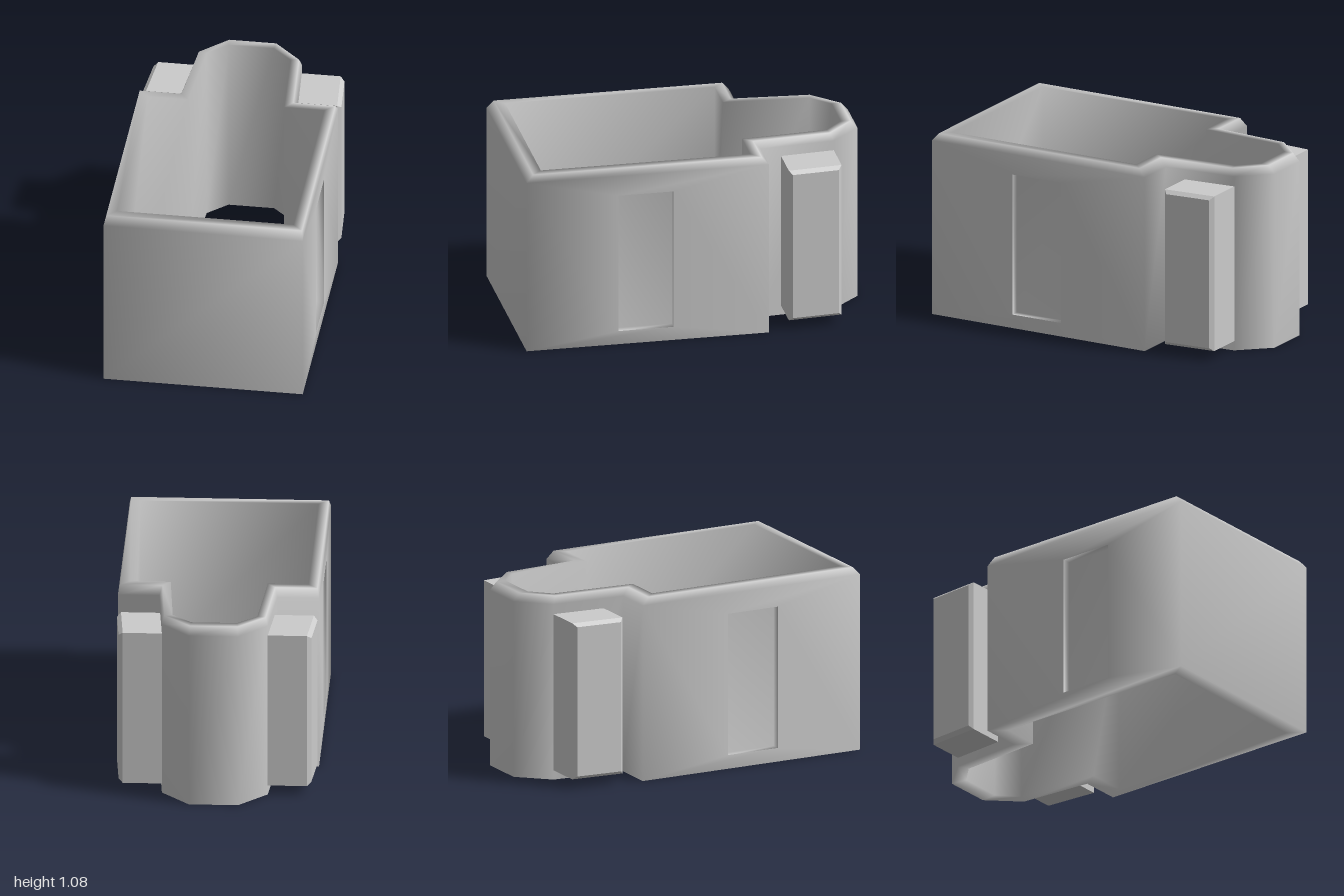
import * as THREE from 'three';

const material = new THREE.MeshStandardMaterial({ color: 0xcccccc });

// Collects points and quads, then makes one indexed geometry
function meshBuilder() {
  const positions = [];
  const index = [];
  return {
    point: (x, y, z) => positions.push(x, y, z) / 3 - 1,
    quad: (a, b, c, d) => index.push(a, b, c, a, c, d),
    build() {
      const g = new THREE.BufferGeometry();
      g.setAttribute('position', new THREE.Float32BufferAttribute(positions, 3));
      g.setIndex(index);
      g.computeVertexNormals();
      return g;
    },
  };
}

// Half plans [x, z] from the front corner to the rear bay, mirrored to closed loops
const mirrorPlan = (half) => [...half, ...half.map(([x, z]) => [-x, z]).reverse()];
const outer = mirrorPlan([[0.57, 1], [0.57, -0.4], [0.335, -0.4], [0.3, -0.83], [0.14, -1]]);
const rim = mirrorPlan([[0.56, 0.96], [0.56, -0.36], [0.32, -0.36], [0.287, -0.81], [0.135, -0.96]]);
const inner = mirrorPlan([[0.505, 0.905], [0.505, -0.305], [0.275, -0.305], [0.24, -0.8], [0.13, -0.905]]);

// Hollow wall shell, open above and below, with a niche in each long side
function shellGeometry() {
  const m = meshBuilder();
  const section = [[outer, 0], [outer, 1.03], [rim, 1.075], [inner, 1.075], [inner, 0]];
  const rings = section.map(([plan, y]) => plan.map(([x, z]) => m.point(x, y, z)));
  const count = outer.length;
  const nicheSides = { 0: 1, 8: -1 };

  for (let j = 0; j < rings.length; j++) {
    const low = rings[j];
    const high = rings[(j + 1) % rings.length];
    for (let i = 0; i < count; i++) {
      const k = (i + 1) % count;
      const corners = [low[i], low[k], high[k], high[i]];
      if (j === 0 && nicheSides[i]) addNiche(m, corners, nicheSides[i]);
      else m.quad(...corners);
    }
  }
  return m.build();
}

// Replaces one wall quad by a frame around a shallow sunken panel
function addNiche(m, corners, side) {
  const [z0, z1] = side > 0 ? [0.47, 0.15] : [0.15, 0.47];
  const opening = [[0.08, z0], [0.08, z1], [0.91, z1], [0.91, z0]];
  const ring = (x) => opening.map(([y, z]) => m.point(side * x, y, z));
  const edge = ring(0.57);
  const lip = ring(0.57); // separate points keep the lip sharp
  const back = ring(0.52);
  for (let k = 0; k < 4; k++) {
    const n = (k + 1) % 4;
    m.quad(corners[k], corners[n], edge[n], edge[k]);
    m.quad(lip[k], lip[n], back[n], back[k]);
  }
  m.quad(...back);
}

// Upright block with a bevelled outer face, skewed to follow the bay wall
function sideBlockGeometry(side) {
  const m = meshBuilder();
  const rings = [[0.3, 0], [0.547, 0], [0.57, 0.02]].map(([x, inset]) => {
    const zs = [-0.52 - inset, -0.83 + inset];
    const ys = [0.055 + inset, 0.972 - inset];
    return [[ys[0], zs[0]], [ys[0], zs[1]], [ys[1], zs[1]], [ys[1], zs[0]]]
      .map(([y, z]) => m.point(side * (x + (z + 0.52) * 0.08), y, z));
  });
  const face = (a, b, c, d) => (side > 0 ? m.quad(a, b, c, d) : m.quad(d, c, b, a));
  for (let r = 0; r < 2; r++) {
    for (let k = 0; k < 4; k++) {
      const n = (k + 1) % 4;
      face(rings[r][k], rings[r][n], rings[r + 1][n], rings[r + 1][k]);
    }
  }
  face(...rings[2]);
  face(...[...rings[0]].reverse());
  const flat = m.build().toNonIndexed();
  flat.computeVertexNormals();
  return flat;
}

export function createModel() {
  const group = new THREE.Group();
  const add = (name, geometry) => {
    const mesh = new THREE.Mesh(geometry, material);
    mesh.name = name;
    group.add(mesh);
  };
  add('wallShell', shellGeometry());
  add('leftSideBlock', sideBlockGeometry(1));
  add('rightSideBlock', sideBlockGeometry(-1));
  return group;
}
